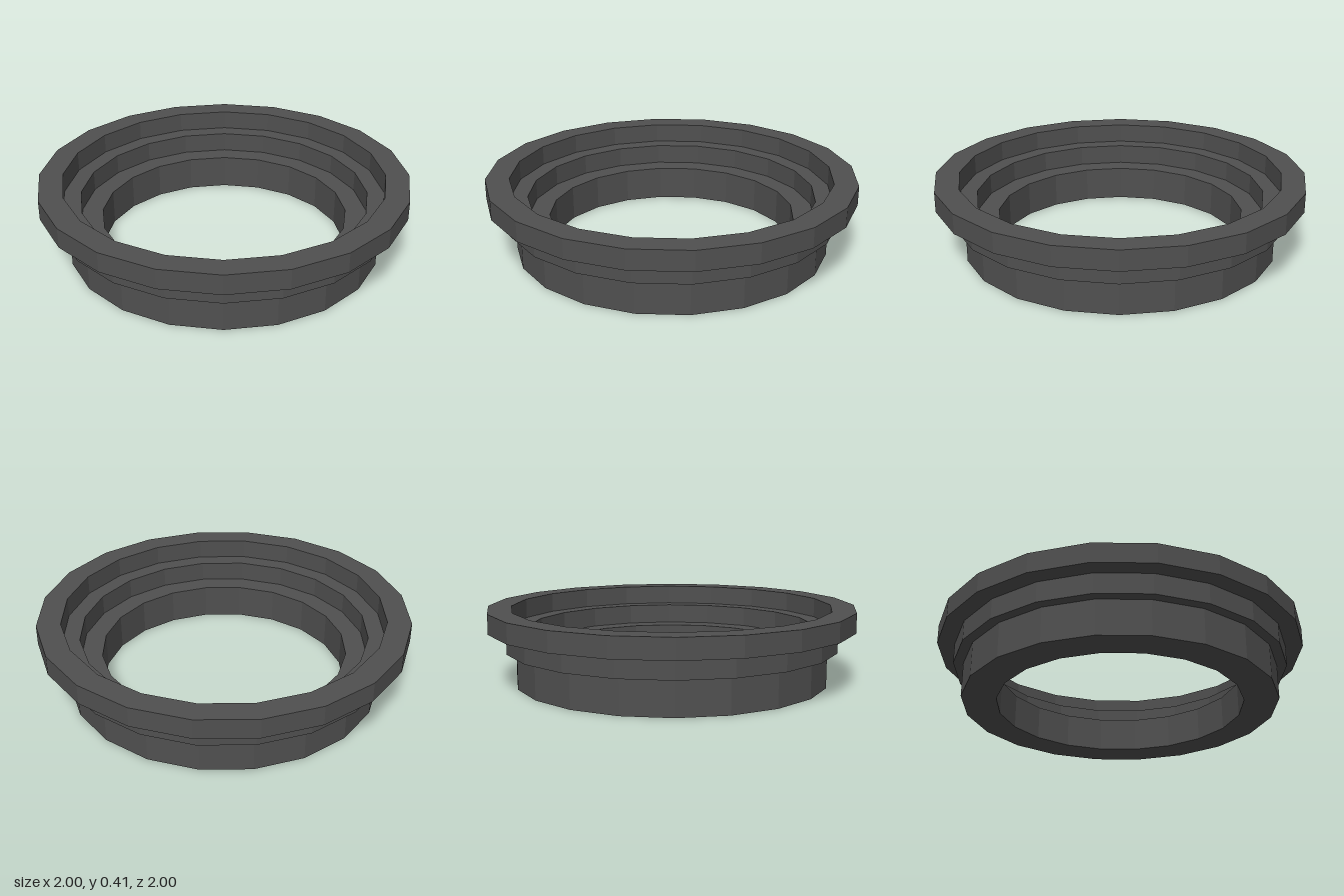
import * as THREE from 'three';

const SIDES = 20;

// Three stacked tiers, bottom to top
const tiers = [
  { inner: 0.667, outer: 0.853, bottom: 0, top: 0.19 },
  { inner: 0.78, outer: 0.907, bottom: 0.19, top: 0.3 },
  { inner: 0.872, outer: 1, bottom: 0.3, top: 0.407 },
];

export function createModel() {
  const group = new THREE.Group();
  group.name = 'steppedRing';

  const darkGrey = new THREE.MeshStandardMaterial({ color: 0x505050, flatShading: true });
  darkGrey.name = 'darkGrey';

  // Closed cross-section: up the outer steps, across the rim, down the inner steps
  const profile = [];
  for (const t of tiers) {
    profile.push(new THREE.Vector2(t.outer, t.bottom), new THREE.Vector2(t.outer, t.top));
  }
  for (const t of [...tiers].reverse()) {
    profile.push(new THREE.Vector2(t.inner, t.top), new THREE.Vector2(t.inner, t.bottom));
  }
  profile.push(profile[0].clone());

  const ring = new THREE.Mesh(new THREE.LatheGeometry(profile, SIDES), darkGrey);
  ring.name = 'ringBody';
  group.add(ring);

  return group;
}
